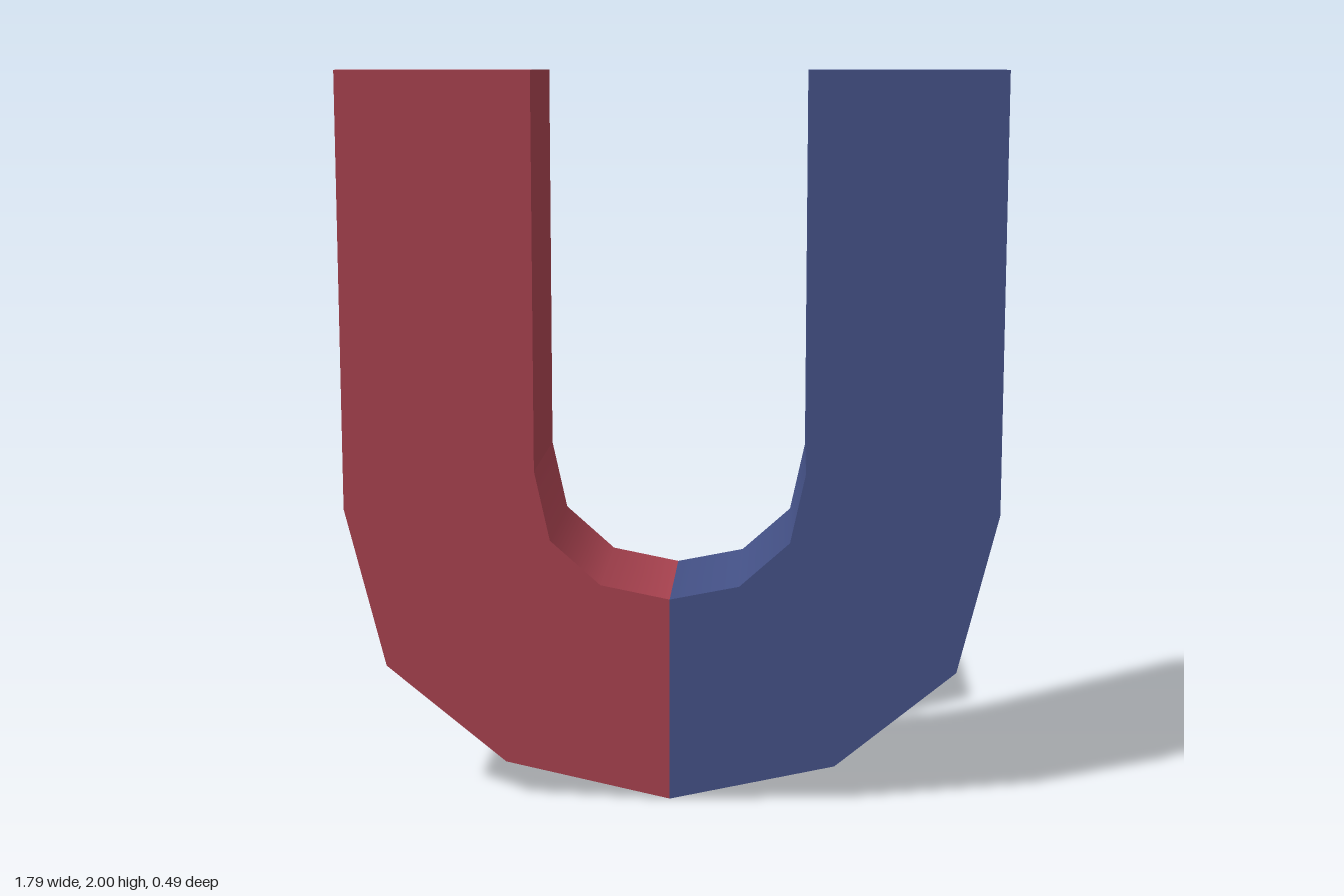
import * as THREE from 'three';

const DEPTH = 0.245; // half thickness front to back

// Stations from the tip of an arm down to the middle of the bend: [x, y]
const OUTER = [[0.895, 2], [0.895, 0.81], [0.785, 0.37], [0.455, 0.1], [0, 0]];
const INNER = [[0.37, 2], [0.37, 0.92], [0.328, 0.728], [0.19, 0.605], [0, 0.567]];

// Direction facing away from the path, for the segment starting at station i
function segmentNormal(path, i, sign) {
  const dx = path[i + 1][0] - path[i][0];
  const dy = path[i + 1][1] - path[i][1];
  const l = Math.hypot(dx, dy) * sign;
  return [-dy / l, dx / l, 0];
}

// Normals at both ends of a segment: flat on the arm, smooth round the bend
function endNormals(path, i, sign) {
  const own = segmentNormal(path, i, sign);
  if (i === 0) return [own, own];
  const blend = (other) => {
    const v = new THREE.Vector3(...own).add(new THREE.Vector3(...other)).normalize();
    return v.toArray();
  };
  const start = i === 1 ? own : blend(segmentNormal(path, i - 1, sign));
  const end = i === path.length - 2 ? [0, -sign, 0] : blend(segmentNormal(path, i + 1, sign));
  return [start, end];
}

// One half of the horseshoe; side is +1 or -1
function halfGeometry(side) {
  const positions = [];
  const normals = [];
  const index = [];

  function quad(corners, cornerNormals) {
    const base = positions.length / 3;
    corners.forEach(([x, y, z], k) => {
      const n = cornerNormals[k];
      positions.push(x * side, y, z);
      normals.push(n[0] * side, n[1], n[2]);
    });
    const order = side > 0 ? [0, 1, 2, 0, 2, 3] : [0, 2, 1, 0, 3, 2];
    index.push(...order.map((k) => base + k));
  }
  const flat = (n) => [n, n, n, n];
  const front = (p) => [p[0], p[1], DEPTH];
  const back = (p) => [p[0], p[1], -DEPTH];

  for (let i = 0; i < OUTER.length - 1; i++) {
    const [o0, o1, i0, i1] = [OUTER[i], OUTER[i + 1], INNER[i], INNER[i + 1]];
    // front and back faces
    quad([i0, i1, o1, o0].map(front), flat([0, 0, 1]));
    quad([o0, o1, i1, i0].map(back), flat([0, 0, -1]));
    // outer and inner walls
    const [a, b] = endNormals(OUTER, i, 1);
    quad([front(o0), front(o1), back(o1), back(o0)], [a, b, b, a]);
    const [c, d] = endNormals(INNER, i, -1);
    quad([back(i0), back(i1), front(i1), front(i0)], [c, d, d, c]);
  }
  // flat tip
  quad([front(INNER[0]), front(OUTER[0]), back(OUTER[0]), back(INNER[0])], flat([0, 1, 0]));

  const geometry = new THREE.BufferGeometry();
  geometry.setAttribute('position', new THREE.Float32BufferAttribute(positions, 3));
  geometry.setAttribute('normal', new THREE.Float32BufferAttribute(normals, 3));
  geometry.setIndex(index);
  return geometry;
}

export function createModel() {
  const red = new THREE.MeshStandardMaterial({ color: 0xa8424f });
  red.name = 'red';
  const blue = new THREE.MeshStandardMaterial({ color: 0x435085 });
  blue.name = 'blue';

  const magnet = new THREE.Group();
  magnet.name = 'horseshoeMagnet';
  for (const [name, side, material] of [['leftPole', 1, blue], ['rightPole', -1, red]]) {
    const pole = new THREE.Mesh(halfGeometry(side), material);
    pole.name = name;
    magnet.add(pole);
  }
  return magnet;
}
